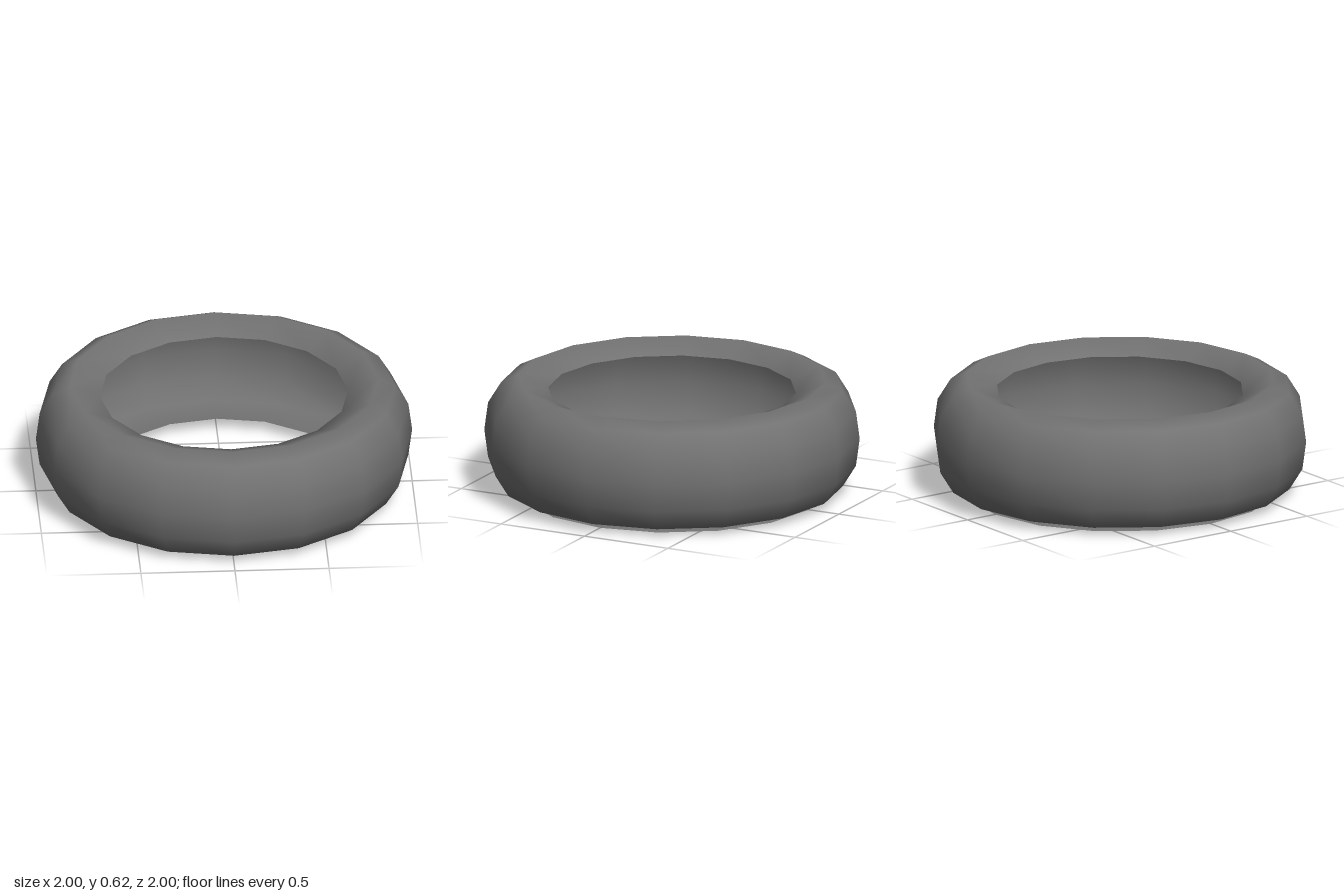
import * as THREE from 'three';

const MID = 0.31; // mid-height of the tyre
const SIDES = 16;

// Cross-section pieces as [radius, height above the middle]
const bead = [0.66, 0.243];
const outerTread = [[0.98, 0.15], [0.91, 0.264]];
const innerTread = [[0.9, 0.255], [0.97, 0.147]];

const mirror = (pts) => pts.map(([r, h]) => [r, -h]).reverse();

export function createModel() {
  const group = new THREE.Group();
  group.name = 'tyre';

  const profile = [
    // lower lip, flaring out from the bead and folding back under the floor
    ...mirror([bead]), [0.82, -0.308], [0.72, -0.264],
    // flat underside, tread, shoulder and upper lip
    ...mirror(outerTread), [1, 0], ...outerTread, [0.82, 0.308], bead,
    // thin inner skin, back down to the lower bead
    [0.81, 0.298], ...innerTread, [0.99, 0], ...mirror(innerTread), ...mirror([bead]),
  ];
  const points = profile.map(([r, h]) => new THREE.Vector2(r, MID + h));

  const tyre = new THREE.Mesh(
    new THREE.LatheGeometry(points, SIDES),
    new THREE.MeshStandardMaterial({ color: 0x727272, side: THREE.DoubleSide }),
  );
  tyre.name = 'tyreCasing';
  group.add(tyre);
  return group;
}
